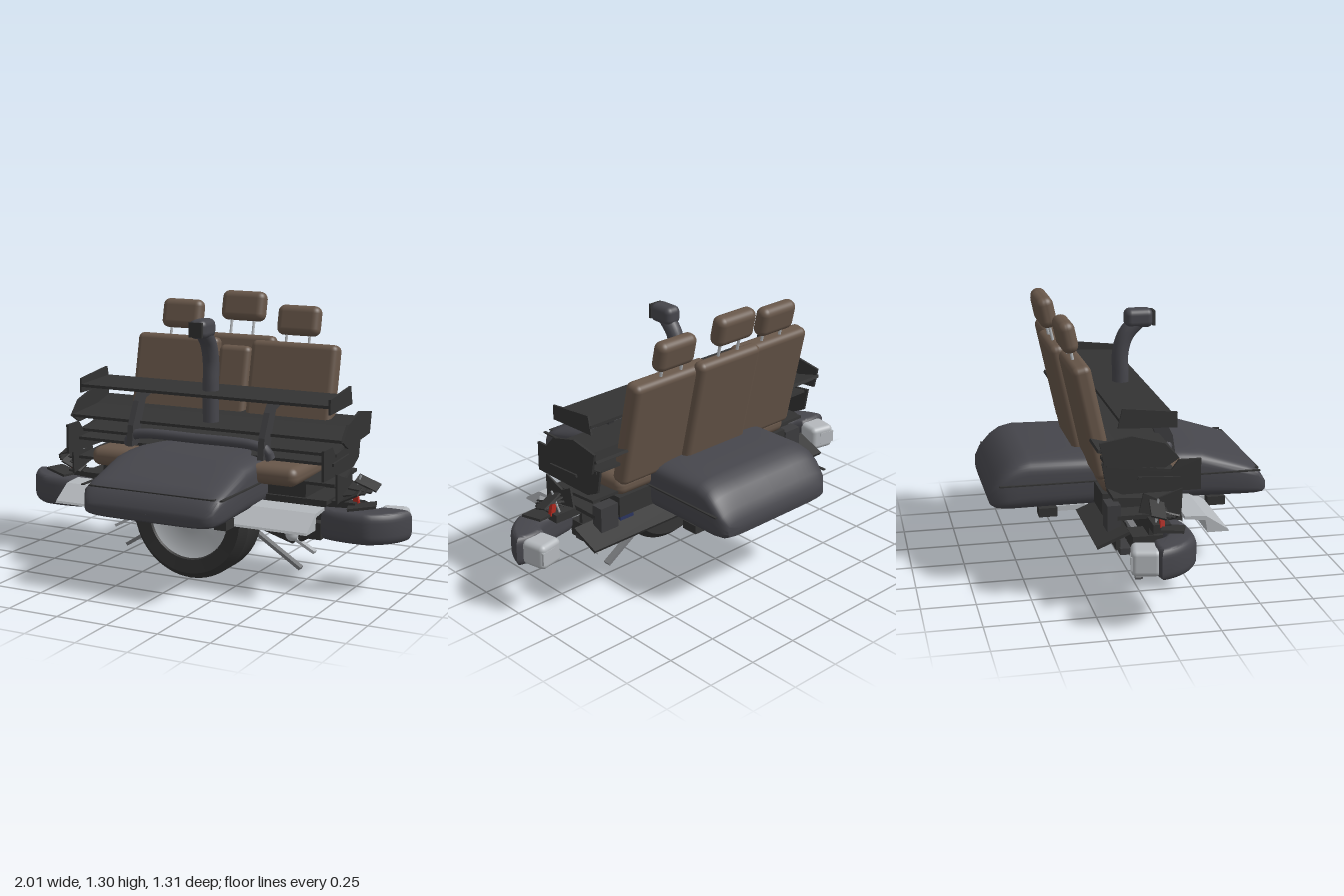
import * as THREE from 'three';
import { RoundedBoxGeometry } from 'three/addons/geometries/RoundedBoxGeometry.js';
import { toCreasedNormals } from 'three/addons/utils/BufferGeometryUtils.js';

const mat = (color) => new THREE.MeshStandardMaterial({ color, side: THREE.DoubleSide });
const BLACK = mat(0x333333), DARK = mat(0x3c3c3e), HOOD = mat(0x46464c), BROWN = mat(0x675649),
  SILVER = mat(0xb4b8bc), STEEL = mat(0x77797c), RED = mat(0xb02a20), BLUE = mat(0x2b3560);

export function createModel() {
  const model = new THREE.Group();
  const add = (name, geo, m, pos = [0, 0, 0], rot = [0, 0, 0], parent = model) => {
    const mesh = new THREE.Mesh(geo, m);
    mesh.name = name;
    mesh.position.set(...pos);
    mesh.rotation.set(...rot);
    parent.add(mesh);
    return mesh;
  };
  const box = (name, size, pos, m, rot) => add(name, new THREE.BoxGeometry(...size), m, pos, rot);
  const soft = (name, size, r, pos, m, rot) => add(name, new RoundedBoxGeometry(...size, 4, r), m, pos, rot);
  const v = (p) => new THREE.Vector3(...p);
  const tube = (name, pts, r, m) =>
    add(name, new THREE.TubeGeometry(new THREE.CatmullRomCurve3(pts.map(v)), 30, r, 14), m);
  const rod = (name, a, b, r, m) => add(name, new THREE.TubeGeometry(new THREE.LineCurve3(v(a), v(b)), 1, r, 8), m);
  // Plate drawn in (z, y), with its thickness along x
  const sidePlate = (name, pts, t, x, m) => {
    const shape = new THREE.Shape(pts.map((p) => new THREE.Vector2(...p)));
    const g = new THREE.ExtrudeGeometry(shape, { depth: t, bevelEnabled: false });
    g.translate(0, 0, -t / 2).rotateY(-Math.PI / 2);
    return add(name, g, m, [x, 0, 0]);
  };

  // Hood: closed shell of rounded sections along z; each station is [z, half width, bottom, top]
  const stations = [
    [0.655, 0.001, 0.409, 0.411], [0.655, 0.27, 0.395, 0.425], [0.652, 0.305, 0.38, 0.437], [0.635, 0.328, 0.37, 0.465],
    [0.605, 0.345, 0.366, 0.51], [0.55, 0.35, 0.365, 0.53], [0.335, 0.35, 0.365, 0.603], [0.24, 0.35, 0.365, 0.612],
    [-0.2, 0.35, 0.365, 0.615], [-0.47, 0.35, 0.365, 0.62], [-0.53, 0.35, 0.365, 0.605], [-0.575, 0.348, 0.367, 0.572],
    [-0.625, 0.335, 0.375, 0.515], [-0.65, 0.31, 0.39, 0.465], [-0.656, 0.25, 0.415, 0.435], [-0.656, 0.001, 0.424, 0.426]];
  const N = 56, pos = [], idx = [];
  stations.forEach(([z, w, b, t], i) => {
    for (let j = 0; j <= N; j++) {
      const a = (j / N) * Math.PI * 2, c = Math.cos(a), s = Math.sin(a);
      const up = Math.sign(s) * Math.abs(s) ** 0.42;
      pos.push(w * Math.sign(c) * Math.abs(c) ** 0.32, (b + t) / 2 + ((t - b) / 2) * up, z);
      if (i && j) {
        const q = i * (N + 1) + j, p = q - N - 1;
        idx.push(p - 1, p, q - 1, p, q, q - 1);
      }
    }
  });
  const hood = new THREE.BufferGeometry();
  hood.setAttribute('position', new THREE.Float32BufferAttribute(pos, 3));
  hood.setIndex(idx);
  add('hood', toCreasedNormals(hood, 0.7), HOOD);
  box('hoodFloor', [0.5, 0.025, 0.78], [0, 0.343, 0.01], SILVER);
  for (const s of [1, -1]) {
    box('hoodSideTrim', [0.014, 0.006, 1.225], [s * 0.353, 0.5, -0.003], BLACK);
    for (const z of [0.415, -0.385]) box('hoodFoot', [0.06, 0.042, 0.085], [s * 0.27, 0.344, z], BLACK);
  }
  box('hoodFrontTrim', [0.64, 0.006, 0.03], [0, 0.5, 0.598], BLACK);

  // Spare wheel, axle along z
  const wheel = new THREE.Group();
  wheel.name = 'wheel';
  wheel.position.set(0, 0.305, 0.157);
  wheel.rotation.x = Math.PI / 2;
  model.add(wheel);
  const turned = (name, pts, m) => add(name, toCreasedNormals(
    new THREE.LatheGeometry(pts.map((p) => new THREE.Vector2(...p)), 64), 0.5), m, [0, 0, 0], [0, 0, 0], wheel);
  turned('tyre', [[0.2, -0.08], [0.205, -0.1], [0.27, -0.105], [0.301, -0.07], [0.301, 0.07], [0.27, 0.105], [0.205, 0.1], [0.2, 0.08]], BLACK);
  turned('rimBack', [[0, -0.05], [0.16, -0.05], [0.2, -0.09]], DARK);
  turned('rimFace', [[0, 0.08], [0.06, 0.08], [0.08, 0.07], [0.16, 0.07], [0.2, 0.088]], SILVER);
  add('hub', new THREE.CylinderGeometry(0.035, 0.04, 0.03, 20), STEEL, [0, 0.085, 0], [0, 0, 0], wheel);

  // Rear bench: cushion, three backs, headrests on posts
  const tilt = -0.215;
  soft('seatCushion', [1.08, 0.09, 0.42], 0.04, [0, 0.54, 0.03], BROWN);
  const back = (name, w, h, d, x, y, z) => soft(name, [w, h, d], 0.03, [x, y, z], BROWN, [tilt, 0, 0]);
  back('middleBack', 0.38, 0.54, 0.07, 0, 0.835, -0.262);
  back('armrest', 0.17, 0.45, 0.07, 0, 0.83, -0.215);
  soft('middleHeadrest', [0.23, 0.145, 0.08], 0.035, [0, 1.235, -0.347], BROWN, [tilt, 0, 0]);
  for (const s of [1, -1]) {
    back('sideBack', 0.45, 0.53, 0.087, s * 0.315, 0.823, -0.216);
    soft('sideHeadrest', [0.22, 0.145, 0.075], 0.035, [s * 0.315, 1.185, -0.302], BROWN, [tilt, 0, 0]);
    for (const d of [-0.06, 0.06])
      rod('headrestPost', [s * 0.315 + d, 1.06, -0.275], [s * 0.315 + d, 1.14, -0.292], 0.007, SILVER);
    rod('middleHeadrestPost', [s * 0.06, 1.08, -0.31], [s * 0.06, 1.19, -0.335], 0.007, SILVER);
  }
  box('seatBase', [1.08, 0.1, 0.3], [0, 0.45, -0.03], BLACK);

  // Air intake: upright duct curving forward into a head
  tube('intakeDuct', [[0, 0.72, 0.017], [0, 0.9, 0.017], [0, 1.02, 0.018], [0, 1.1, 0.045], [0, 1.16, 0.1]], 0.039, HOOD);
  soft('intakeHead', [0.088, 0.09, 0.135], 0.03, [0, 1.175, 0.103], HOOD);
  box('intakeMouth', [0.07, 0.07, 0.012], [0, 1.175, 0.172], BLACK);

  // Three stacked wings: blades running from (z0, y0) to (z1, y1), closed by end plates
  const blade = (name, half, z0, y0, z1, y1) =>
    box(name, [half * 2, 0.014, Math.hypot(z0 - z1, y0 - y1)], [0, (y0 + y1) / 2, (z0 + z1) / 2], BLACK,
      [Math.atan2(y1 - y0, z0 - z1), 0, 0]);
  blade('topWing', 0.655, 0.13, 0.86, -0.13, 0.87);
  blade('middleWing', 0.715, 0.12, 0.705, -0.2, 0.73);
  blade('middleWingFlap', 0.715, -0.08, 0.715, -0.235, 0.755);
  blade('lowerWing', 0.685, 0.14, 0.6, -0.05, 0.61);
  blade('lowerWingFlap', 0.68, 0.1, 0.635, -0.19, 0.675);
  blade('lowerWingFloor', 0.68, 0.12, 0.5, -0.16, 0.52);
  for (const s of [1, -1]) {
    sidePlate('topEndPlate', [[0.13, 0.895], [-0.115, 0.922], [-0.135, 0.835], [0.13, 0.825]], 0.01, s * 0.655, BLACK);
    sidePlate('middleEndPlate', [[0.125, 0.705], [0.06, 0.775], [-0.085, 0.815], [-0.228, 0.79], [-0.208, 0.69], [0.06, 0.665]], 0.012, s * 0.715, BLACK);
    sidePlate('lowerEndPlate', [[0.235, 0.682], [0.135, 0.682], [0.1, 0.635], [-0.02, 0.665], [-0.21, 0.688], [-0.19, 0.575], [-0.12, 0.54], [0.235, 0.54]], 0.012, s * 0.67, BLACK);
    sidePlate('wingSupport', [[0.2, 0.6], [0.185, 0.7], [0.13, 0.81], [0.08, 0.865], [0.0, 0.865], [0.0, 0.83], [0.06, 0.815], [0.1, 0.72], [0.13, 0.6]], 0.03, s * 0.345, DARK);
  }
  tube('frontBar', [[-0.375, 0.6, 0.15], [-0.36, 0.64, 0.16], [-0.3, 0.66, 0.165], [0, 0.665, 0.168],
    [0.3, 0.66, 0.165], [0.36, 0.64, 0.16], [0.375, 0.6, 0.15]], 0.024, HOOD);

  // Full-width light deflector with bent section
  sidePlate('deflector', [[0.375, 0.326], [0.37, 0.336], [0.27, 0.403], [0.17, 0.41], [0.17, 0.395], [0.265, 0.385], [0.275, 0.326]], 1.31, 0, SILVER);

  // Under-tray channel with runners and a wide rear blade
  box('trayTop', [1.3, 0.02, 0.27], [0, 0.42, 0], BLACK);
  box('trayFrontWall', [1.2, 0.15, 0.02], [0, 0.335, 0.03], BLACK);
  box('trayRearWall', [1.2, 0.19, 0.02], [0, 0.345, -0.12], BLACK);
  box('trayRunner', [1.24, 0.03, 0.05], [0, 0.25, 0.02], DARK);
  box('trayRearRunner', [1.24, 0.03, 0.05], [0, 0.25, -0.09], DARK);
  box('trayRail', [1.1, 0.02, 0.03], [0, 0.3, -0.02], STEEL);
  box('redStrip', [0.8, 0.012, 0.02], [0, 0.34, -0.06], RED);
  blade('rearDiffuser', 0.745, -0.1, 0.385, -0.245, 0.325);

  for (const s of [1, -1]) {
    // Curved corner pod drawn in (x, z); the right one is the mirror image
    const pod = new THREE.Shape();
    pod.moveTo(0.64, 0.1);
    pod.lineTo(0.65, 0.13);
    pod.quadraticCurveTo(0.74, 0.16, 0.85, 0.145);
    pod.quadraticCurveTo(0.945, 0.1, 0.975, 0.0);
    pod.quadraticCurveTo(0.92, -0.015, 0.87, 0.0);
    pod.quadraticCurveTo(0.85, 0.07, 0.76, 0.08);
    const podGeo = new THREE.ExtrudeGeometry(pod, { depth: 0.064, bevelThickness: 0.04, bevelSize: 0.025, bevelSegments: 5, curveSegments: 12 });
    podGeo.rotateX(Math.PI / 2);
    add('cornerPod', toCreasedNormals(podGeo, 0.7), HOOD, [0, 0.355, 0]).scale.x = s;
    soft('podLamp', [0.13, 0.12, 0.13], 0.025, [s * 0.905, 0.322, -0.065], SILVER, [0, s * 0.2, 0]);
    box('lampLens', [0.08, 0.06, 0.01], [s * 0.915, 0.322, -0.13], SILVER, [0, s * 0.2, 0]);
    box('podBracket', [0.15, 0.04, 0.08], [s * 0.69, 0.4, 0.04], BLACK);
    box('podTopPlate', [0.13, 0.012, 0.1], [s * 0.8, 0.41, 0.08], BLACK, [0, s * 0.3, s * 0.15]);
    // Small fins and markers above the pod
    for (let i = 0; i < 4; i++)
      box('podFin', [0.11, 0.008, 0.07], [s * (0.74 + 0.02 * i), 0.45 + 0.018 * i, 0.07 - 0.02 * i], BLACK, [0.3, 0, s * (0.5 - 0.3 * i)]);
    sidePlate('podVane', [[0.145, 0.56], [0.03, 0.52], [-0.03, 0.55], [-0.05, 0.46], [0.14, 0.42]], 0.01, s * 0.7, BLACK);
    box('redMarker', [0.025, 0.06, 0.02], [s * 0.755, 0.435, 0.04], RED, [0, 0, s * 0.2]);
    rod('podAerial', [s * 0.73, 0.42, 0.02], [s * 0.77, 0.54, 0.02], 0.005, SILVER);
    // Lamps, side units and struts underneath
    add('lowerLamp', new THREE.CapsuleGeometry(0.03, 0.04, 6, 14), SILVER, [s * 0.5, 0.285, 0.18]);
    box('redReflector', [0.03, 0.03, 0.02], [s * 0.55, 0.31, 0.19], RED);
    box('underBlock', [0.13, 0.08, 0.15], [s * 0.54, 0.27, 0.02], BLACK);
    box('blueUnit', [0.08, 0.06, 0.06], [s * 0.48, 0.38, -0.13], BLUE);
    box('rearUnit', [0.1, 0.16, 0.06], [s * 0.6, 0.4, -0.15], DARK);
    box('longStrut', [0.3, 0.016, 0.035], [s * 0.345, 0.135, 0.005], STEEL, [0, 0, s * -0.57]);
    box('outerStrut', [0.25, 0.014, 0.03], [s * 0.43, 0.2, 0], SILVER, [0, 0, s * -0.5]);
    rod('sideStrut', [s * 0.6, 0.27, 0.0], [s * 0.46, 0.19, 0.0], 0.012, BLACK);
    box('strutPlate', [0.16, 0.07, 0.03], [s * 0.36, 0.225, -0.01], BLACK, [0, 0, s * -0.3]);
  }
  return model;
}
